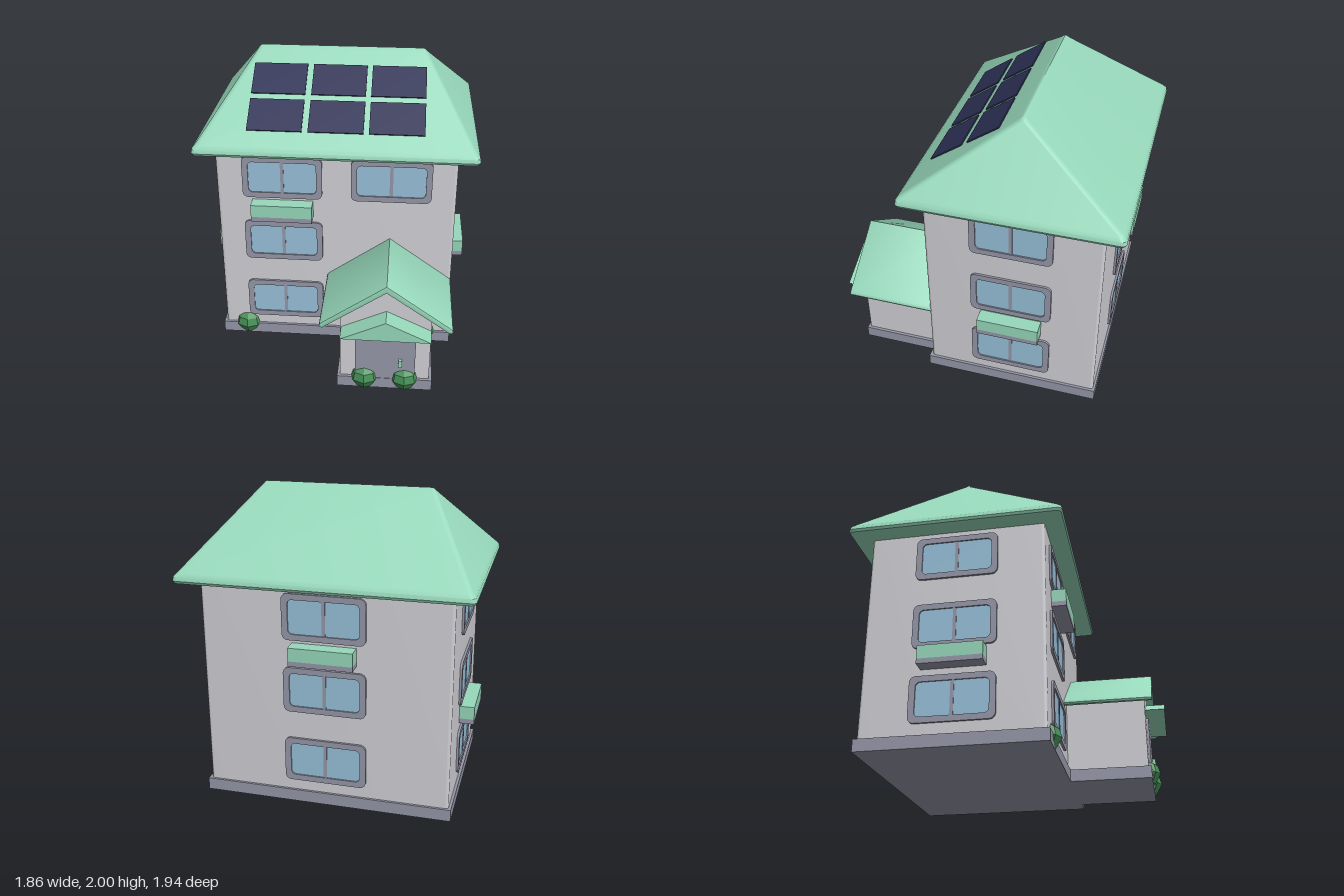
import * as THREE from 'three';
import { toCreasedNormals } from 'three/addons/utils/BufferGeometryUtils.js';

const mat = (name, color, extra = {}) => {
  const m = new THREE.MeshStandardMaterial({ color, ...extra });
  m.name = name;
  return m;
};

// Rounded rectangle outline centred on (cx, cy)
function roundRect(w, h, r, cx = 0, cy = 0, Type = THREE.Shape) {
  const s = new Type(), x = w / 2, y = h / 2;
  s.moveTo(cx - x + r, cy - y);
  [[x - r, -y + r, -Math.PI / 2], [x - r, y - r, 0], [-x + r, y - r, Math.PI / 2], [-x + r, -y + r, Math.PI]]
    .forEach(([px, py, a]) => s.absarc(cx + px, cy + py, r, a, a + Math.PI / 2, false));
  s.closePath();
  return s;
}

const extrude = (shape, depth, opts = {}) => toCreasedNormals(
  new THREE.ExtrudeGeometry(shape, { depth, bevelEnabled: false, curveSegments: 5, ...opts }), 0.6);

const polygon = pts => new THREE.Shape(pts.map(([x, y]) => new THREE.Vector2(x, y)));

// Hip roof skin from stacked rounded rectangles [halfX, halfZ, y]
function hipRoof(rings) {
  const pos = [], index = [], steps = 4, n = 4 * (steps + 1);
  rings.forEach(([hx, hz, y]) => {
    const r = Math.min(0.03, hx, hz);
    [[1, 1], [-1, 1], [-1, -1], [1, -1]].forEach(([sx, sy], c) => {
      for (let k = 0; k <= steps; k++) {
        const a = (c + k / steps) * Math.PI / 2;
        pos.push(sx * (hx - r) + r * Math.cos(a), y, -(sy * (hz - r) + r * Math.sin(a)));
      }
    });
  });
  for (let i = 0; i < rings.length - 1; i++) {
    for (let j = 0; j < n; j++) {
      const a = i * n + j, b = i * n + (j + 1) % n;
      index.push(a, b, b + n, a, b + n, a + n);
    }
  }
  const g = new THREE.BufferGeometry();
  g.setAttribute('position', new THREE.Float32BufferAttribute(pos, 3));
  g.setIndex(index);
  return toCreasedNormals(g, 0.55);
}

export function createModel() {
  const root = new THREE.Group();
  root.name = 'house';
  const wall = mat('wall', 0xd1d0d5), trim = mat('trim', 0x9697a8), green = mat('roofGreen', 0x97d8bb);
  const glass = mat('glass', 0x97c0da), solar = mat('solar', 0x2e3155);
  const leaf = mat('leaf', 0x468f58, { flatShading: true });

  const add = (name, geo, material, x = 0, y = 0, z = 0, parent = root) => {
    const m = new THREE.Mesh(geo, material);
    m.name = name;
    m.position.set(x, y, z);
    parent.add(m);
    return m;
  };
  const box = (name, x0, x1, y0, y1, z0, z1, material, parent = root) => add(name,
    new THREE.BoxGeometry(x1 - x0, y1 - y0, z1 - z0), material, (x0 + x1) / 2, (y0 + y1) / 2, (z0 + z1) / 2, parent);

  // Main body with softened vertical corners
  const body = extrude(roundRect(1.6, 1.15, 0.02), 1.46);
  body.rotateX(-Math.PI / 2);
  add('mainWalls', body, wall, 0, 0.02, -0.265);

  // Foundations
  box('mainBase', -0.818, 0.818, 0, 0.08, -0.855, 0.328, trim);
  box('porchBase', 0.055, 0.685, 0, 0.08, 0.3, 0.86, trim);

  // Main hip roof with rounded eaves and ridge
  add('mainRoof', hipRoof([
    [0, 0, 1.46], [0.905, 0.68, 1.46], [0.922, 0.697, 1.465], [0.93, 0.705, 1.482], [0.925, 0.70, 1.507],
    [0.905, 0.68, 1.53], [0.575, 0.03, 1.98], [0.562, 0.014, 1.994], [0.545, 0, 2],
  ]), green, 0, 0, -0.265);

  // Solar panels lying on the front slope
  const panels = new THREE.Group();
  panels.name = 'solarPanels';
  root.add(panels);
  const slope = Math.atan(0.692);
  for (const x of [-0.4, 0, 0.395]) {
    for (const z of [-0.02, 0.218]) {
      const p = add('solarPanel', new THREE.BoxGeometry(0.36, 0.008, 0.202 / Math.cos(slope)), solar,
        x, 2 - 0.692 * (z + 0.265) + 0.013, z, panels);
      p.rotation.x = slope;
    }
  }

  // Windows, modelled facing +z
  const frameShape = roundRect(0.535, 0.3, 0.04);
  frameShape.holes.push(roundRect(0.455, 0.222, 0.03, 0, 0, THREE.Path));
  const frameGeo = extrude(frameShape, 0.025);
  const paneGeo = new THREE.BoxGeometry(0.47, 0.235, 0.008);
  const barGeo = new THREE.BoxGeometry(0.022, 0.23, 0.014);
  function makeWindow(parent, x, y) {
    const w = new THREE.Group();
    w.name = 'window';
    w.position.set(x, y, 0);
    add('windowFrame', frameGeo, trim, 0, 0, -0.01, w);
    add('windowGlass', paneGeo, glass, 0, 0, 0.002, w);
    add('windowBar', barGeo, trim, 0, 0, 0.004, w);
    parent.add(w);
  }
  function makePlanter(parent, x, y) {
    box('planterBase', x - 0.205, x + 0.205, y, y + 0.033, -0.01, 0.097, trim, parent);
    box('planterBox', x - 0.205, x + 0.205, y + 0.033, y + 0.12, -0.01, 0.097, green, parent);
  }

  // Four facades: a column of windows and one planter each
  const floors = [0.305, 0.79, 1.272];
  [
    ['frontFacade', 0, 0.31, 0, -0.357, 0.982],
    ['backFacade', 0, -0.84, Math.PI, 0, 0.982],
    ['leftFacade', 0.8, -0.26, Math.PI / 2, 0, 0.5],
    ['rightFacade', -0.8, -0.26, -Math.PI / 2, 0, 0.5],
  ].forEach(([name, x, z, turn, wx, py]) => {
    const f = new THREE.Group();
    f.name = name;
    f.position.set(x, 0, z);
    f.rotation.y = turn;
    root.add(f);
    floors.forEach(y => makeWindow(f, wx, y));
    makePlanter(f, wx, py);
    if (name === 'frontFacade') makeWindow(f, 0.37, 1.272);
  });

  // Porch walls with gable
  add('porchWalls', extrude(polygon([
    [0.075, 0.02], [0.665, 0.02], [0.665, 0.59], [0.37, 0.795], [0.075, 0.59],
  ]), 0.55), wall, 0, 0, 0.29);

  // Porch gable roof: mirrored slab profile with rounded eaves
  const half = [[0.41, 0.54], [0.425, 0.527], [0.43, 0.512], [0.424, 0.5], [0.408, 0.497]];
  const roofPts = [[0, 0.835], ...half, [0, 0.785],
    ...half.map(([x, y]) => [-x, y]).reverse()];
  add('porchRoof', extrude(polygon(roofPts), 0.593, {
    bevelEnabled: true, bevelThickness: 0.006, bevelSize: 0.006, bevelOffset: -0.006, bevelSegments: 2,
  }), green, 0.37, 0, 0.296);

  // Small canopy above the door
  add('doorCanopy', extrude(polygon([[-0.292, 0.473], [0.292, 0.473], [0, 0.612]]), 0.135), green, 0.372, 0, 0.835);

  // Door and handle
  add('door', extrude(roundRect(0.395, 0.425, 0.03), 0.025), trim, 0.372, 0.243, 0.832);
  box('doorHandle', 0.46, 0.485, 0.19, 0.245, 0.85, 0.88, green);

  // Low-poly bushes
  const bushGeo = new THREE.LatheGeometry(
    [[0, 0.002], [0.06, 0.002], [0.1, 0.07], [0.085, 0.125], [0.045, 0.155], [0, 0.155]]
      .map(([x, y]) => new THREE.Vector2(x, y)), 8);
  [[-0.64, 0.272], [0.625, 0.272], [0.235, 0.812], [0.502, 0.812]].forEach(([x, z]) => {
    add('bush', bushGeo, leaf, x, 0, z);
  });

  return root;
}
